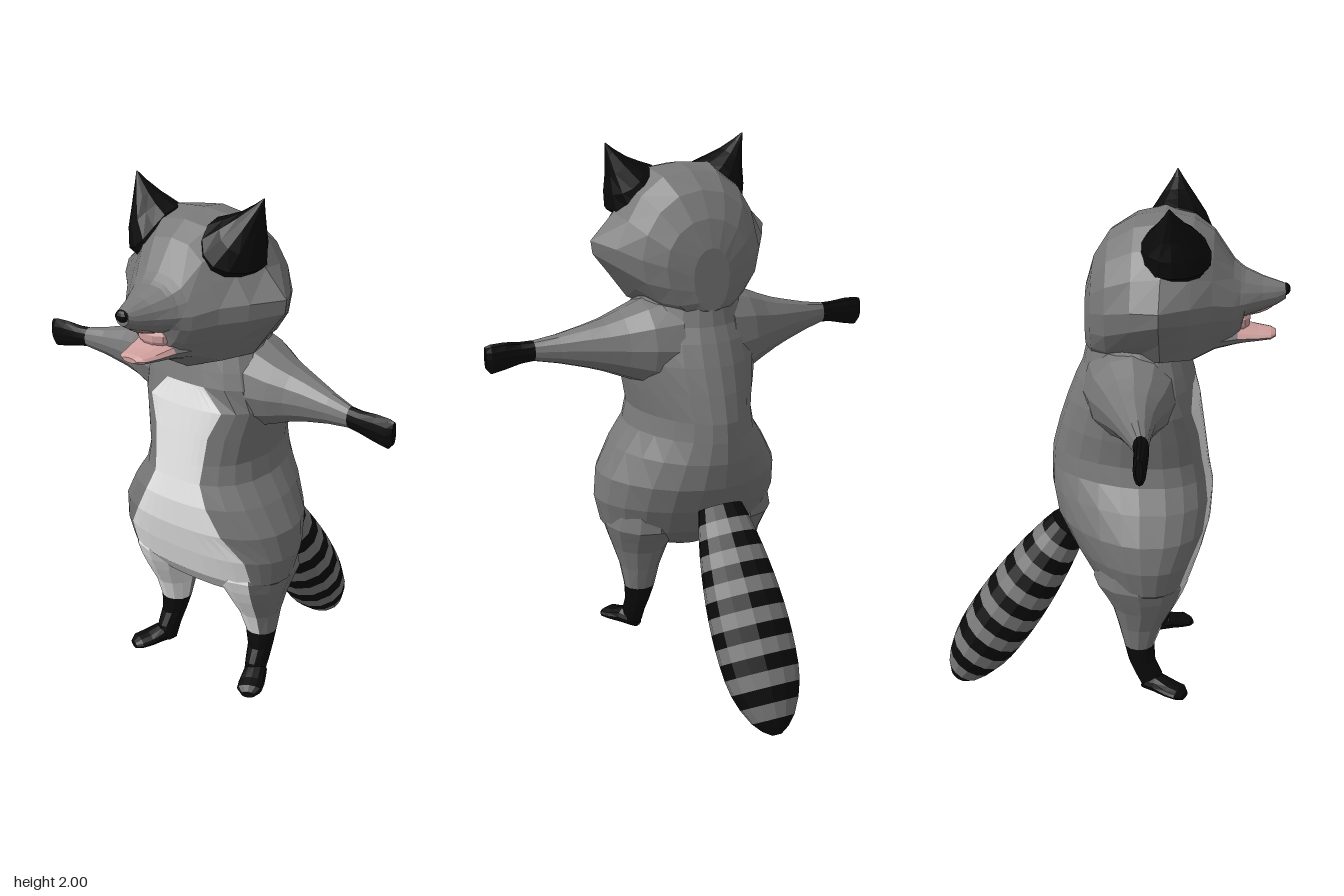
import * as THREE from 'three';

const mat = (name, color) => Object.assign(new THREE.MeshStandardMaterial({ color }), { name });

// Faceted skin over closed rings of points, capped at both ends.
// pick(i, j) gives the material index of the face at ring i, column j.
function loft(name, rings, mats, pick = () => 0) {
  const buckets = mats.map(() => []);
  const n = rings[0].length;
  let volume = 0;
  const tri = (m, a, b, c) => {
    volume += a.dot(b.clone().cross(c));
    buckets[m].push([a, b, c]);
  };
  for (let i = 0; i < rings.length - 1; i++) {
    for (let j = 0; j < n; j++) {
      const k = (j + 1) % n, m = pick(i, j);
      tri(m, rings[i][j], rings[i][k], rings[i + 1][k]);
      tri(m, rings[i][j], rings[i + 1][k], rings[i + 1][j]);
    }
  }
  [0, rings.length - 1].forEach((r, end) => {
    const ring = rings[r];
    const mid = ring.reduce((s, p) => s.add(p), new THREE.Vector3()).divideScalar(n);
    for (let j = 0; j < n; j++) {
      const k = (j + 1) % n, m = pick(end ? r - 1 : 0, j);
      if (end) tri(m, mid, ring[j], ring[k]);
      else tri(m, mid, ring[k], ring[j]);
    }
  });
  const geo = new THREE.BufferGeometry(), pos = [];
  buckets.forEach((tris, m) => {
    geo.addGroup(pos.length / 3, tris.length * 3, m);
    for (const [a, b, c] of tris) {
      for (const p of volume > 0 ? [a, b, c] : [a, c, b]) pos.push(p.x, p.y, p.z);
    }
  });
  geo.setAttribute('position', new THREE.Float32BufferAttribute(pos, 3));
  geo.computeVertexNormals();
  const mesh = new THREE.Mesh(geo, mats.length > 1 ? mats : mats[0]);
  mesh.name = name;
  return mesh;
}

const V = (x, y, z) => new THREE.Vector3(x, y, z);
const around = (n, f) => Array.from({ length: n }, (_, j) => f(j / n * Math.PI * 2));
const power = (v, e) => Math.sign(v) * Math.abs(v) ** e;

export function createModel() {
  const group = new THREE.Group();
  const fur = mat('grey fur', 0x787878), white = mat('white fur', 0xe6e6e6);
  const black = mat('black fur', 0x0a0a0a), pink = mat('pink mouth', 0xd0a09e);

  // Torso: y, half width, front z, back z, half width of the belly patch
  const torso = [
    [1.5, .18, .26, -.06, .07], [1.45, .2, .28, -.07, .07], [1.38, .23, .3, -.085, .07],
    [1.325, .25, .315, -.11, .08], [1.245, .255, .335, -.14, .155], [1.15, .24, .35, -.17, .115],
    [1.05, .22, .365, -.195, .105], [.98, .235, .375, -.2, .1], [.9, .29, .39, -.2, .135],
    [.8, .345, .385, -.18, .19], [.7, .357, .36, -.13, .26], [.6, .335, .328, -.07, .265],
    [.53, .25, .27, .02, .22], [.49, .1, .2, .08, .09],
  ].map(([y, w, zf, zb, patch]) => {
    const edge = Math.asin((patch / w) ** 1.25), half = [];
    for (let k = 0; k < 4; k++) half.push(edge * k / 4);
    for (let k = 0; k < 4; k++) half.push(edge + (Math.PI / 2 - edge) * k / 4);
    for (let k = 0; k <= 6; k++) half.push(Math.PI / 2 * (1 + k / 6));
    const angles = [...half, ...half.slice(1, -1).reverse().map(a => -a)];
    const mid = zb + .58 * (zf - zb);
    return angles.map(a => {
      const c = Math.cos(a), front = c > 0;
      return V(w * power(Math.sin(a), front ? .8 : 1.1), y,
        mid + (front ? (zf - mid) * power(c, .8) : (mid - zb) * power(c, 1.2)));
    });
  });
  const cols = torso[0].length;
  group.add(loft('torso', torso, [fur, white],
    (i, j) => (i >= 3 && (j < 4 || j >= cols - 4) ? 1 : 0)));

  // Head: z, half width, cheek y, top y, bottom y, roundness
  const cheeky = [[0, 1], [.35, .96], [.6, .72], [.74, .4], [.99, .06], [.97, -.12], [.79, -.42], [.6, -.75], [0, -1]];
  const head = [
    [-.072, .07, 1.56, 1.66, 1.43, 1], [-.045, .16, 1.6, 1.76, 1.4, 1], [.01, .23, 1.62, 1.85, 1.39, .9],
    [.1, .29, 1.64, 1.905, 1.39, .5], [.2, .348, 1.65, 1.92, 1.38, 0], [.3, .272, 1.65, 1.9, 1.38, .2],
    [.37, .2, 1.645, 1.855, 1.42, .4], [.44, .145, 1.63, 1.755, 1.46, .6], [.465, .12, 1.63, 1.735, 1.49, .7],
    [.48, .11, 1.63, 1.725, 1.56, .8], [.54, .07, 1.635, 1.7, 1.58, 1],
    [.59, .045, 1.64, 1.685, 1.602, 1], [.62, .028, 1.65, 1.675, 1.622, 1],
  ].map(([z, w, yc, top, bot, round]) => {
    const half = cheeky.map(([u, v], i) => {
      const a = i * Math.PI / 8;
      u += (Math.sin(a) - u) * round;
      v += (Math.cos(a) - v) * round;
      return V(u * w, yc + v * (v > 0 ? top - yc : yc - bot), z);
    });
    return [...half, ...half.slice(1, -1).reverse().map(p => V(-p.x, p.y, p.z))];
  });
  group.add(loft('head', head, [fur]));

  // Lower jaw, pink above and at the lip: z, half width, middle y, half height
  group.add(loft('lowerJaw', [
    [.38, .11, 1.49, .05], [.46, .088, 1.497, .036], [.53, .07, 1.495, .022], [.575, .055, 1.495, .016], [.592, .03, 1.495, .009],
  ].map(([z, w, y, h]) => around(12, a => V(w * Math.cos(a), y + h * Math.sin(a), z))), [fur, pink],
  (i, j) => (i >= 3 || (i >= 1 && j < 6) ? 1 : 0)));

  // Rounded mouth parts and nose
  const blob = (name, m, p, s, tilt = 0) => {
    const mesh = new THREE.Mesh(new THREE.SphereGeometry(1, 10, 7).toNonIndexed(), m);
    mesh.geometry.scale(...s);
    mesh.geometry.computeVertexNormals();
    mesh.position.set(...p);
    mesh.rotation.x = tilt;
    mesh.name = name;
    group.add(mesh);
  };
  blob('nose', black, [0, 1.656, .618], [.027, .021, .018]);
  blob('throat', pink, [0, 1.545, .455], [.068, .05, .05]);
  blob('palate', pink, [0, 1.584, .53], [.04, .012, .06], -.35);

  // Striped tail: profile along a sloping axis
  const start = V(0, .715, -.14), end = V(0, .012, -.592);
  const up = V(0, -.541, .841), bands = 15;
  const radius = new THREE.SplineCurve([
    [0, .58], [.15, .78], [.35, .95], [.55, 1.02], [.75, .96], [.88, .74], [.96, .45], [1, .12],
  ].map(p => new THREE.Vector2(...p)));
  const profile = radius.getPoints(200);
  const tail = Array.from({ length: bands + 2 }, (_, i) => {
    const t = i <= bands - 1 ? i / bands : i === bands ? .975 : 1;
    const r = profile.find(p => p.x >= t - 1e-6).y;
    const c = start.clone().lerp(end, t);
    return around(14, a => c.clone().addScaledVector(up, .125 * r * Math.sin(a)).add(V(.143 * r * Math.cos(a), 0, 0)));
  });
  group.add(loft('stripedTail', tail, [fur, black], i => (i % 2 === 0 || i >= bands - 1 ? 1 : 0)));

  for (const s of [1, -1]) {
    const side = s > 0 ? 'left' : 'right';

    // Ear: base curved over the skull, drawn up to a point
    const ear = [
      [.145, 1.8, .1, .1, .06], [.176, 1.836, .114, .128, .045], [.203, 1.873, .084, .1, .018],
      [.226, 1.915, .05, .06, 0], [.253, 1.965, .02, .024, 0], [.27, 2, .002, .002, 0],
    ].map(([x, y, r, rz, sag], i) => around(14, a => {
      const d = r * Math.cos(a), drop = sag * Math.sin(a) ** 2;
      return V(s * (x + d * .77 - drop * .64), y - d * .64 - drop * .77, .242 - i * .003 + rz * Math.sin(a));
    }));
    group.add(loft(side + 'Ear', ear, [black]));

    // Arm and hand: x, y, half height, z, half depth
    const limb = ([x, y, h, z, d]) => around(12, a => V(s * x, y + h * Math.sin(a), z + d * Math.cos(a)));
    const wrist = [.585, 1.303, .038, .165, .027];
    group.add(loft(side + 'Arm', [
      [.1, 1.3, .19, .1, .18], [.2, 1.305, .155, .105, .155], [.28, 1.303, .122, .118, .12],
      [.34, 1.304, .098, .122, .094], [.4, 1.305, .08, .13, .073], [.5, 1.304, .054, .148, .045], wrist,
    ].map(limb), [fur]));
    group.add(loft(side + 'Hand', [
      wrist, [.63, 1.3, .04, .17, .025], [.69, 1.295, .05, .172, .024], [.74, 1.289, .054, .173, .022], [.76, 1.297, .04, .173, .012],
    ].map(limb), [black]));

    // Leg and shin: y, middle x, half width, front z, back z
    const post = ([y, x, w, zf, zb]) => around(12, a =>
      V(s * (x + w * Math.cos(a)), y, (zf + zb) / 2 + (zf - zb) / 2 * Math.sin(a)));
    const cuff = [.335, .203, .058, .195, .083];
    group.add(loft(side + 'Leg', [
      [.72, .18, .13, .29, -.02], [.6, .185, .148, .315, -.03], [.55, .19, .128, .295, .005],
      [.5, .195, .105, .27, .035], [.42, .2, .075, .225, .06], cuff,
    ].map(post), [fur, white], (i, j) => (j >= 2 && j < 6 ? 1 : 0)));
    group.add(loft(side + 'Shin', [
      cuff, [.27, .208, .045, .2, .1], [.22, .212, .04, .225, .122], [.165, .212, .036, .235, .15],
    ].map(post), [black]));

    // Foot turned outward: distance along foot, half width, half height
    group.add(loft(side + 'Foot', [
      [0, .022, .015], [.02, .038, .03], [.06, .044, .034], [.11, .048, .024], [.15, .046, .02], [.172, .025, .012],
    ].map(([d, w, h]) => around(12, a => {
      const u = w * Math.cos(a);
      return V(s * (.204 + d * .42 + u * .91), .146 + h + h * Math.sin(a), .158 + d * .91 - u * .42);
    })), [black]));
  }
  return group;
}
